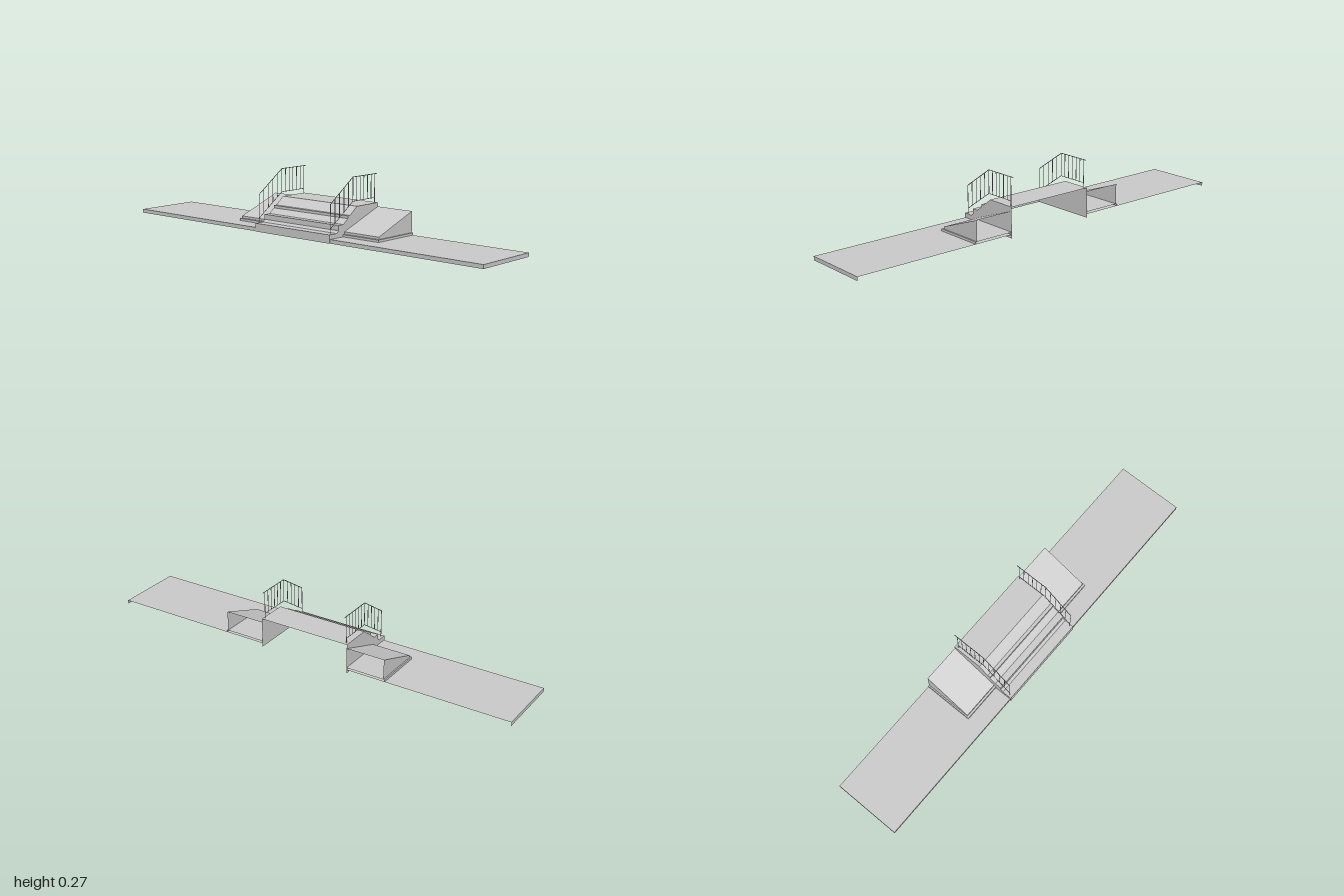
import * as THREE from 'three';
import { mergeGeometries } from 'three/addons/utils/BufferGeometryUtils.js';

const material = new THREE.MeshStandardMaterial({ color: 0xcccccc, side: THREE.DoubleSide });
const BACK = -0.161;

// Thin shell: a [z, y] profile swept across x, with flat end walls at the given x.
// The underside and the back stay open.
function shell(name, profile, x0, x1, endWalls, floor) {
  const pos = [];
  for (let i = 0; i < profile.length - 1; i++) {
    const [za, ya] = profile[i], [zb, yb] = profile[i + 1];
    pos.push(x0, ya, za, x1, ya, za, x1, yb, zb);
    pos.push(x0, ya, za, x1, yb, zb, x0, yb, zb);
  }
  const sweep = new THREE.BufferGeometry();
  sweep.setAttribute('position', new THREE.Float32BufferAttribute(pos, 3));
  sweep.computeVertexNormals();
  const parts = [sweep];
  const outline = [...profile, [BACK, floor]].map(([z, y]) => new THREE.Vector2(z, y));
  for (const x of endWalls) {
    const wall = new THREE.ShapeGeometry(new THREE.Shape(outline)).toNonIndexed();
    wall.deleteAttribute('uv');
    wall.rotateY(x > 0 ? -Math.PI / 2 : -Math.PI / 2);
    if (x > 0) {
      // turn the wall outwards
      const p = wall.attributes.position, n = wall.attributes.normal;
      for (let i = 0; i < p.count; i += 3) {
        const b = new THREE.Vector3().fromBufferAttribute(p, i + 1);
        const c = new THREE.Vector3().fromBufferAttribute(p, i + 2);
        p.setXYZ(i + 1, c.x, c.y, c.z);
        p.setXYZ(i + 2, b.x, b.y, b.z);
      }
      for (let i = 0; i < n.count; i++) n.setXYZ(i, 1, 0, 0);
    }
    wall.translate(x, 0, 0);
    parts.push(wall);
  }
  const mesh = new THREE.Mesh(mergeGeometries(parts), material);
  mesh.name = name;
  return mesh;
}

// Thin round bar between two [z, y] points
function bar(name, a, b, radius = 0.0014) {
  const from = new THREE.Vector3(0, a[1], a[0]);
  const to = new THREE.Vector3(0, b[1], b[0]);
  const dir = to.clone().sub(from);
  const mesh = new THREE.Mesh(new THREE.CylinderGeometry(radius, radius, dir.length(), 6), material);
  mesh.position.copy(from).add(to).multiplyScalar(0.5);
  mesh.quaternion.setFromUnitVectors(new THREE.Vector3(0, 1, 0), dir.normalize());
  mesh.name = name;
  return mesh;
}

function createRailing(name, x) {
  const railing = new THREE.Group();
  railing.name = name;
  const slope = 0.102 / 0.147;
  const topY = (z) => 0.269 - Math.max(0, z) * slope;
  const lowY = (z) => 0.163 - Math.max(0, z) * slope;
  const front = 0.147, rear = -0.147;
  // handrail and lower rail, level over the landing and sloping with the steps
  railing.add(bar('handrailLevel', [BACK, topY(0)], [0, topY(0)], 0.0017));
  railing.add(bar('handrailSlope', [0, topY(0)], [front, topY(front)], 0.0017));
  railing.add(bar('lowerRailLevel', [rear, lowY(0)], [0, lowY(0)]));
  railing.add(bar('lowerRailSlope', [0, lowY(0)], [front, lowY(front)]));
  // posts reach the steps, balusters stop at the lower rail
  railing.add(bar('frontPost', [front, 0.037], [front, topY(front)]));
  railing.add(bar('rearPost', [rear, 0.14], [rear, topY(rear)]));
  for (let i = 1; i <= 5; i++) {
    const z = front * (1 - i / 5);
    railing.add(bar('slopeBaluster', [z, lowY(z)], [z, topY(z)]));
    const zl = rear * i / 6;
    railing.add(bar('levelBaluster', [zl, lowY(zl)], [zl, topY(zl)]));
  }
  railing.position.x = x;
  return railing;
}

export function createModel() {
  const model = new THREE.Group();
  model.name = 'entranceSteps';

  // Steps with undercut-looking sloped risers, ending in a landing
  const stepProfile = [
    [0.161, 0], [0.161, 0.0375], [0.115, 0.0375], [0.103, 0.048], [0.103, 0.071],
    [0.072, 0.071], [0.043, 0.093], [0.043, 0.105], [0.028, 0.105], [-0.018, 0.14], [BACK, 0.14],
  ];
  const stairLeft = 0.217, stairRight = -0.224;
  model.add(shell('steps', stepProfile, stairRight, stairLeft, [stairRight, stairLeft], 0));

  // Pavement, kerb and sloped block on each side of the steps
  const pavement = [[0.157, 0], [0.157, 0.0175], [BACK, 0.0175]];
  const kerb = [[0.074, 0.0175], [0.074, 0.028], [BACK, 0.028]];
  const ramp = [[0.064, 0.028], [0.064, 0.0385], [BACK, 0.122]];
  for (const [side, s, inner] of [['left', 1, stairLeft], ['right', -1, stairRight]]) {
    const add = (name, profile, outer, floor) => model.add(
      shell(side + name, profile, Math.min(inner, outer), Math.max(inner, outer), [outer], floor));
    add('Pavement', pavement, s, 0);
    add('Kerb', kerb, s * 0.413, 0.0175);
    add('SlopedBlock', ramp, s * 0.407, 0.028);
  }

  model.add(createRailing('leftRailing', 0.209));
  model.add(createRailing('rightRailing', -0.214));
  return model;
}
